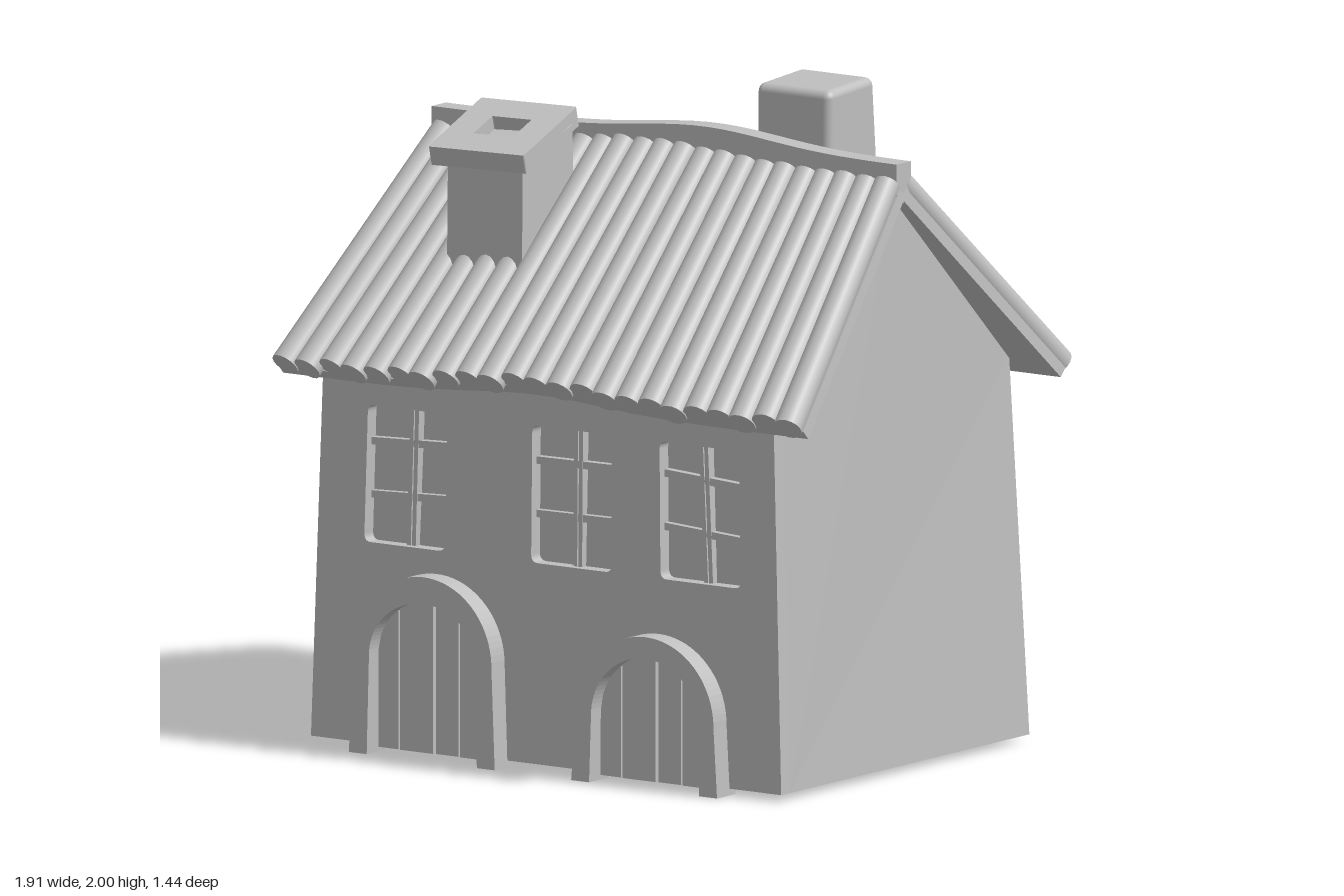
import * as THREE from 'three';
import { RoundedBoxGeometry } from 'three/addons/geometries/RoundedBoxGeometry.js';

const stone = new THREE.MeshStandardMaterial({ color: 0xbfbfbf });
stone.name = 'plain grey';
const lerp = THREE.MathUtils.lerp;

function part(name, geometry, x = 0, y = 0, z = 0) {
  const mesh = new THREE.Mesh(geometry, stone);
  mesh.name = name;
  mesh.position.set(x, y, z);
  return mesh;
}

// Move every vertex by a rule
function warp(geometry, rule) {
  const p = geometry.attributes.position;
  const v = new THREE.Vector3();
  for (let i = 0; i < p.count; i++) {
    rule(v.fromBufferAttribute(p, i));
    p.setXYZ(i, v.x, v.y, v.z);
  }
  geometry.computeVertexNormals();
  return geometry;
}

const extrude = (shape, depth) =>
  new THREE.ExtrudeGeometry(shape, { depth, bevelEnabled: false, curveSegments: 20 });

function roundedRect(path, x, y, w, h, r) {
  path.moveTo(x + r, y);
  path.lineTo(x + w - r, y).quadraticCurveTo(x + w, y, x + w, y + r);
  path.lineTo(x + w, y + h - r).quadraticCurveTo(x + w, y + h, x + w - r, y + h);
  path.lineTo(x + r, y + h).quadraticCurveTo(x, y + h, x, y + h - r);
  path.lineTo(x, y + r).quadraticCurveTo(x, y, x + r, y);
  return path;
}

// Walls lean inwards up to the eaves
const lean = (v) => {
  const t = Math.min(v.y, 1.16);
  v.x = v.x * (1 - 0.038 * t) - 0.005 - 0.008 * t;
  v.z *= 1 - 0.035 * t;
};

const WINDOWS = [[-0.67, 0.02], [-0.07, 0.005], [0.395, -0.03]];

function walls() {
  const group = new THREE.Group();
  group.name = 'walls';
  // Pentagon core, standing behind the front wall
  const gable = new THREE.Shape([[-0.585, 0.02], [0.626, 0.02], [0.612, 1.16], [0, 1.74], [-0.585, 1.16]]
    .map(([x, y]) => new THREE.Vector2(x, y)));
  const core = extrude(gable, 1.71).translate(0, 0, -0.855).rotateY(Math.PI / 2);
  group.add(part('houseBody', warp(core, lean)));
  // Front wall with window openings
  const front = new THREE.Shape([[-0.855, 0.02], [0.855, 0.02], [0.855, 1.16], [-0.855, 1.16]]
    .map(([x, y]) => new THREE.Vector2(x, y)));
  for (const [x] of WINDOWS) front.holes.push(roundedRect(new THREE.Path(), x / 0.966 + 0.012, 0.62, 0.3, 0.41, 0.025));
  group.add(part('frontWall', warp(extrude(front, 0.055).translate(0, 0, 0.575), lean)));
  return group;
}

function windowBars([x, tilt]) {
  const group = new THREE.Group();
  group.name = 'windowBars';
  group.position.set(x + 0.145, 0.825, 0.578);
  for (const dx of [-0.009, 0.009]) {
    const upright = part('uprightBar', new THREE.BoxGeometry(0.014, 0.41, 0.03), dx + 0.01);
    upright.rotation.z = -tilt * 1.5;
    group.add(upright);
  }
  for (const y of [0.1, -0.06]) {
    const bar = part('crossBar', new THREE.BoxGeometry(0.285, 0.022, 0.026), 0, y);
    bar.rotation.z = tilt * 2;
    group.add(bar);
  }
  return group;
}

// Arched door with a raised surround and four planks
function door(cx, outerTop, innerTop) {
  const group = new THREE.Group();
  group.name = 'door';
  group.position.x = cx;
  const R = 0.25, r = 0.195, spring = outerTop - R;
  const rise = innerTop - spring;
  const frame = new THREE.Shape();
  frame.moveTo(-R - 0.015, 0).lineTo(-R, spring);
  frame.absellipse(0, spring, R, R, Math.PI, 0, true);
  frame.lineTo(R + 0.015, 0).lineTo(r + 0.005, 0).lineTo(r, spring);
  frame.absellipse(0, spring, r, rise, 0, Math.PI, false);
  frame.lineTo(-r - 0.005, 0);
  group.add(part('doorSurround', warp(extrude(frame, 0.095).translate(0, 0, 0.6), (v) => { v.z -= 0.015 * v.y; })));
  const edges = [-0.2, -0.118, 0.01, 0.1, 0.2];
  for (let i = 0; i < 4; i++) {
    const a = edges[i] + 0.004, b = edges[i + 1] - 0.004;
    const plank = new THREE.Shape().moveTo(a, 0.015).lineTo(b, 0.015);
    for (let k = 0; k <= 8; k++) {
      const x = lerp(b, a, k / 8);
      plank.lineTo(x, spring + rise * Math.sqrt(Math.max(0, 1 - (x / r) ** 2)));
    }
    group.add(part('doorPlank', extrude(plank, 0.04 + 0.004 * (i % 2)), 0, 0, 0.602));
  }
  return group;
}

// Gentle hump along the roof
const lift = (x) => 0.03 * Math.exp(-(((x + 0.03) / 0.33) ** 2));

// One slope of the roof: a thin board under a row of round logs
function roofSlope(side) {
  const group = new THREE.Group();
  group.name = side > 0 ? 'frontRoof' : 'backRoof';
  if (side < 0) group.rotation.y = Math.PI;
  const at = (u, t, h) => {
    const x = u * lerp(0.84, 0.955, t);
    return new THREE.Vector3(x, lerp(1.76, 1.135, t) + 0.72 * h + lift(side * x), lerp(0.03, 0.685, t) + 0.69 * h);
  };
  const board = new THREE.BoxGeometry(2, 0.035, 1, 24, 1, 1);
  group.add(part('roofBoard', warp(board, (v) => v.copy(at(v.x, v.z + 0.49, v.y - 0.04)))));
  const count = 23, up = new THREE.Vector3(0, 1, 0);
  for (let i = 0; i < count; i++) {
    const u = ((i + 0.5) / count) * 2 - 1;
    const wobble = 0.008 * Math.sin(i * 2.3);
    const top = at(u, 0, wobble * 0.5), end = at(u, 1 + wobble, 0);
    const dir = top.clone().sub(end);
    const log = part('roofLog', new THREE.CylinderGeometry(0.039, 0.044, dir.length(), 16));
    log.position.copy(top).add(end).multiplyScalar(0.5);
    log.quaternion.setFromUnitVectors(up, dir.normalize());
    group.add(log);
  }
  return group;
}

function ridge() {
  const geometry = new THREE.BoxGeometry(1.69, 0.12, 0.072, 32, 1, 1);
  return part('ridgeBeam', warp(geometry, (v) => {
    v.y += 1.762 + 0.042 * Math.exp(-(((v.x - 0.14) / 0.33) ** 2));
  }), -0.005, 0, -0.003);
}

// Square chimney with a tilted, hollow cap
function frontChimney() {
  const group = new THREE.Group();
  group.name = 'frontChimney';
  const shaft = new THREE.BoxGeometry(0.272, 0.5, 0.265);
  group.add(part('chimneyShaft', warp(shaft, (v) => {
    if (v.y > 0) v.y -= v.z * 0.29;
    v.z *= v.y > 0 ? 0.95 : 1;
  }), -0.395, 1.555, 0.268));
  const square = roundedRect(new THREE.Shape(), -0.161, -0.17, 0.322, 0.34, 0.008);
  square.holes.push(roundedRect(new THREE.Path(), -0.066, -0.06, 0.132, 0.12, 0.004));
  const cap = part('chimneyCap', extrude(square, 0.06).translate(0, 0, -0.03).rotateX(-Math.PI / 2), -0.412, 1.814, 0.277);
  cap.rotation.set(0.285, 0.12, 0, 'YXZ');
  group.add(cap);
  return group;
}

// Plain rounded chimney, wider at the bottom towards the back
function backChimney() {
  const geometry = new RoundedBoxGeometry(0.27, 0.68, 0.24, 4, 0.025);
  const p = geometry.attributes.position;
  for (let i = 0; i < p.count; i++) {
    const t = 0.5 - p.getY(i) / 0.68, z = p.getZ(i);
    p.setZ(i, z < 0 ? z - 0.055 * t + 0.01 : z + 0.01 * t);
    p.setY(i, p.getY(i) - (z + 0.12) * 0.06 * (1 - t));
  }
  return part('backChimney', geometry, 0.37, 1.66, -0.215);
}

export function createModel() {
  const house = new THREE.Group();
  house.name = 'house';
  house.add(walls(), ridge(), frontChimney(), backChimney());
  house.add(roofSlope(1), roofSlope(-1));
  house.add(door(-0.41, 0.55, 0.47), door(0.398, 0.455, 0.39));
  for (const w of WINDOWS) house.add(windowBars(w));
  return house;
}
